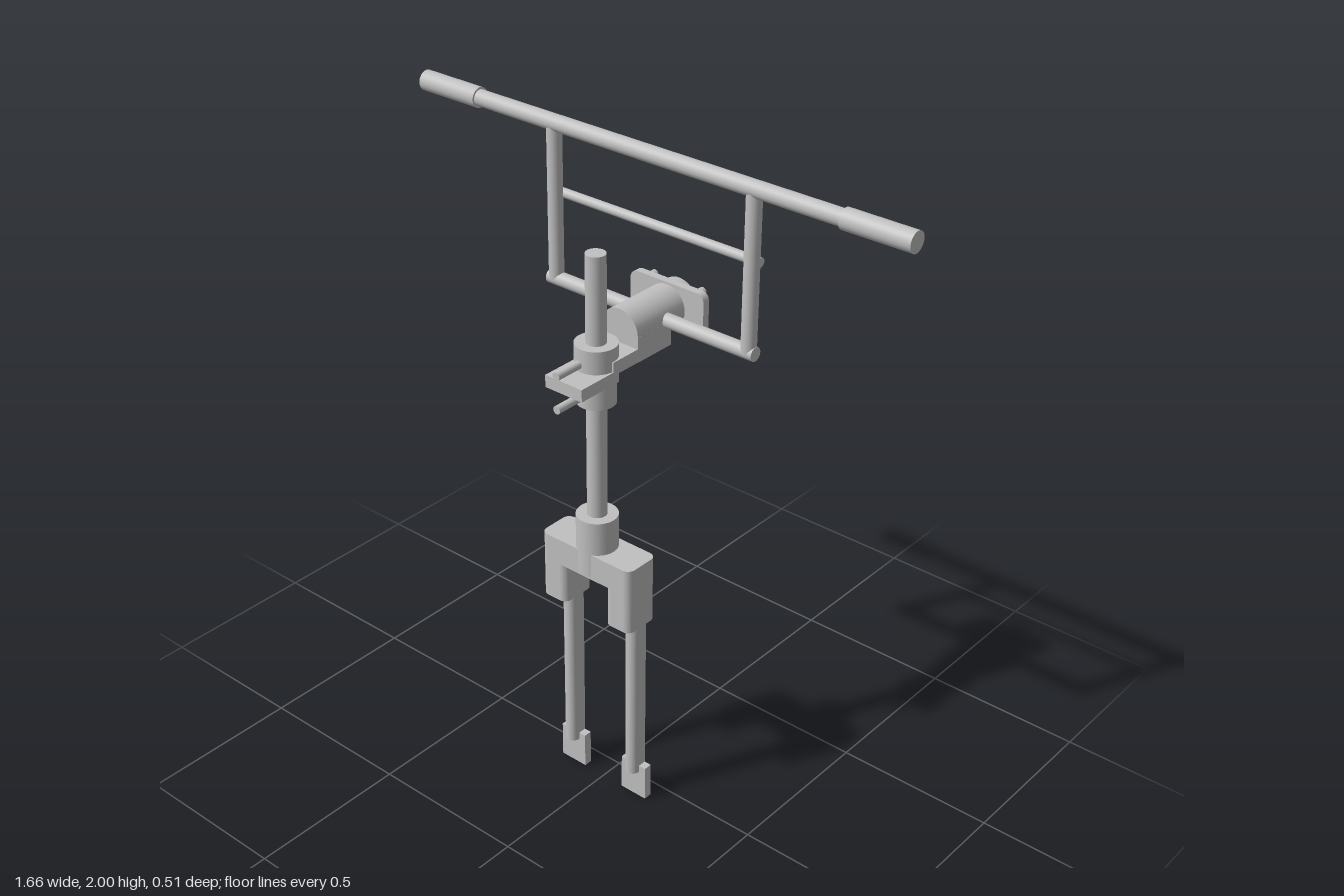
import * as THREE from 'three';

export function createModel() {
  const model = new THREE.Group();
  const metal = new THREE.MeshStandardMaterial({ color: 0xc0c0c0 });
  metal.name = 'grey metal';

  const add = (name, geometry, x, y, z) => {
    const mesh = new THREE.Mesh(geometry, metal);
    mesh.name = name;
    mesh.position.set(x, y, z);
    model.add(mesh);
    return mesh;
  };
  // Round rod along one axis, centred on x, y, z
  const rod = (name, axis, r, length, x, y, z) => {
    const g = new THREE.CylinderGeometry(r, r, length, 32);
    if (axis === 'x') g.rotateZ(Math.PI / 2);
    if (axis === 'z') g.rotateX(Math.PI / 2);
    return add(name, g, x, y, z);
  };
  const box = (name, w, h, d, x, y, z) => add(name, new THREE.BoxGeometry(w, h, d), x, y, z);
  // Rounded rectangle extruded along +z
  const roundedPlate = (w, h, r, depth) => {
    const s = new THREE.Shape();
    const a = w / 2 - r, b = h / 2 - r;
    s.absarc(a, b, r, 0, Math.PI / 2);
    s.absarc(-a, b, r, Math.PI / 2, Math.PI);
    s.absarc(-a, -b, r, Math.PI, Math.PI * 1.5);
    s.absarc(a, -b, r, Math.PI * 1.5, Math.PI * 2);
    s.closePath();
    return new THREE.ExtrudeGeometry(s, { depth, bevelEnabled: false, curveSegments: 8 });
  };
  // Upright prism with rounded vertical edges, standing on y
  const prism = (name, w, d, r, h, x, y, z) =>
    add(name, roundedPlate(w, d, r, h).rotateX(-Math.PI / 2), x, y, z);

  const stemZ = 0.095, barZ = -0.125;

  // Handlebar frame
  rod('handlebar', 'x', 0.024, 1.3, 0, 1.97, barZ);
  rod('lowerCrossbar', 'x', 0.021, 0.73, 0, 1.505, barZ);
  rod('middleCrossbar', 'x', 0.014, 0.71, 0, 1.76, -0.147);
  for (const s of [-1, 1]) {
    rod('grip', 'x', 0.03, 0.21, s * 0.725, 1.97, barZ);
    rod('frameUpright', 'y', 0.022, 0.46, s * 0.342, 1.735, barZ);
  }

  // Steering column and its clamp
  rod('steeringColumn', 'y', 0.029, 0.925, 0, 1.3025, stemZ);
  rod('upperCollar', 'y', 0.061, 0.1, 0, 1.455, stemZ);
  rod('lowerCollar', 'y', 0.056, 0.095, 0, 1.3725, stemZ);
  box('clampPlate', 0.13, 0.037, 0.15, 0, 1.418, 0.152);
  for (const y of [1.465, 1.364]) rod('clampScrew', 'z', 0.012, 0.088, 0, y, 0.211);

  // Stem block and barrel with its end plate
  box('stemBlock', 0.13, 0.075, 0.14, 0, 1.4625, -0.07);
  box('stemNeck', 0.13, 0.04, 0.1, 0, 1.446, 0.05);
  rod('stemBarrel', 'z', 0.065, 0.252, 0, 1.502, -0.126);
  add('endPlate', roundedPlate(0.26, 0.138, 0.025, 0.024), 0, 1.504, -0.222);
  for (const x of [-0.085, 0.085])
    for (const y of [1.456, 1.552]) rod('plateBolt', 'z', 0.013, 0.03, x, y, -0.236);

  // Fork crown
  rod('crownSocket', 'y', 0.061, 0.18, 0, 0.875, stemZ);
  prism('crown', 0.332, 0.118, 0.024, 0.083, 0, 0.777, 0.092);

  // Fork legs
  for (const s of [-1, 1]) {
    const x = s * 0.12;
    prism('legSleeve', 0.092, 0.118, 0.024, 0.127, x, 0.65, 0.092);
    prism('forkLeg', 0.045, 0.066, 0.0222, 0.57, x, 0.092, 0.067);
    box('dropout', 0.092, 0.115, 0.026, x, 0.0575, 0.062);
  }
  return model;
}
